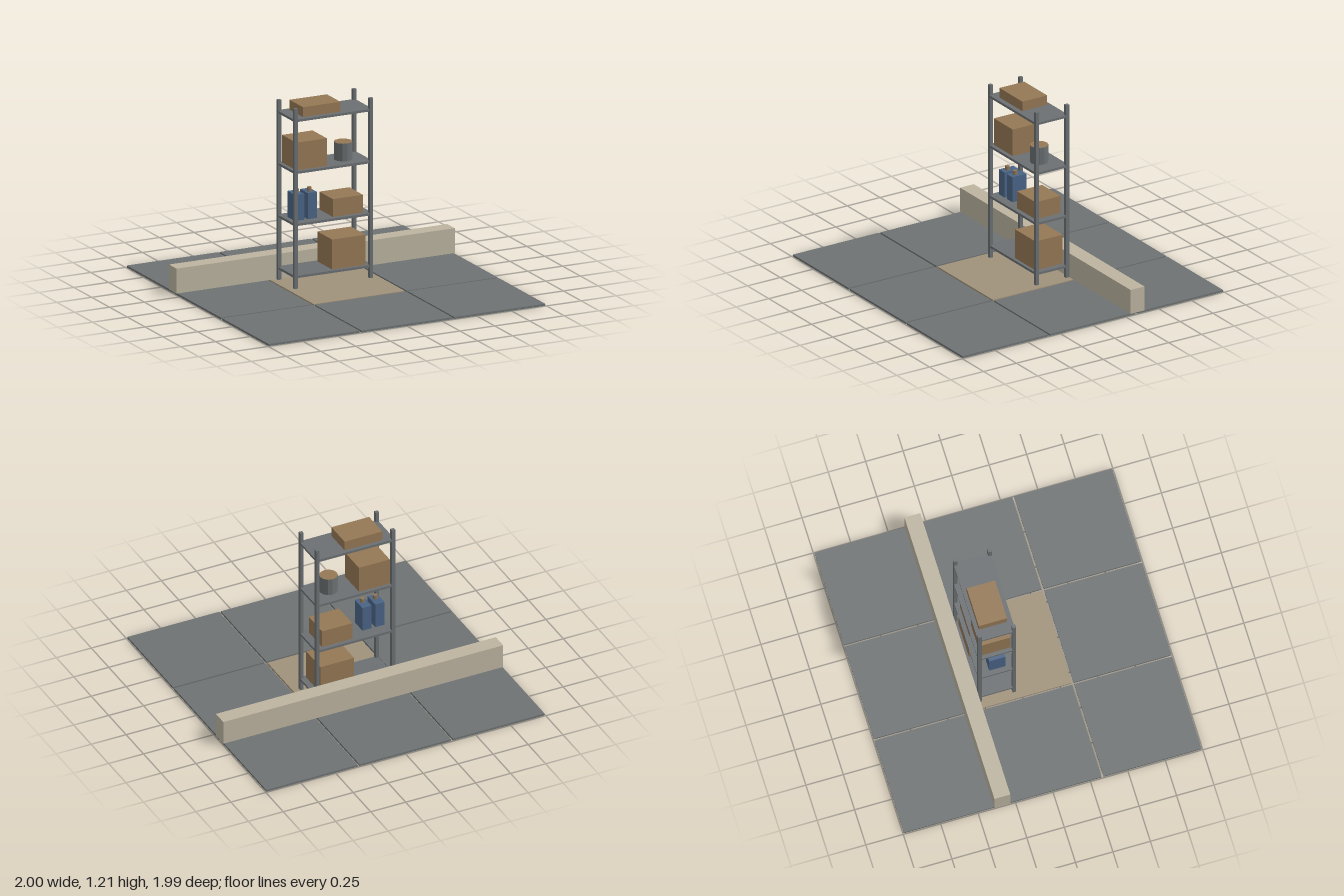
import * as THREE from 'three';

export function createModel() {
  const model = new THREE.Group();
  model.name = 'storageRack';

  const mat = (name, color) => {
    const m = new THREE.MeshStandardMaterial({ color });
    m.name = name;
    return m;
  };
  const slate = mat('slateGrey', 0x6e7272);
  const steel = mat('steelGrey', 0x6b7072);
  const sand = mat('sandTile', 0xa0927a);
  const stone = mat('paleStone', 0xbcb4a0);
  const cardboard = mat('cardboardBrown', 0x957855);
  const blue = mat('canisterBlue', 0x4a6486);

  // Box given by its minimum and maximum on each axis
  const box = (name, material, [x0, x1], [y0, y1], [z0, z1], parent = model) => {
    const mesh = new THREE.Mesh(new THREE.BoxGeometry(x1 - x0, y1 - y0, z1 - z0), material);
    mesh.position.set((x0 + x1) / 2, (y0 + y1) / 2, (z0 + z1) / 2);
    mesh.name = name;
    parent.add(mesh);
    return mesh;
  };

  // Floor: three by three separate tiles, the middle one sand coloured
  const floor = new THREE.Group();
  floor.name = 'floor';
  model.add(floor);
  const half = 0.327, pitch = 0.667, ground = 0.014;
  for (let i = -1; i <= 1; i++) {
    for (let j = -1; j <= 1; j++) {
      const x = i * pitch, z = j * pitch;
      const middle = i === 0 && j === 0;
      box(middle ? 'middleTile' : 'floorTile', middle ? sand : slate,
        [x - half, x + half], [0, ground], [z - half, z + half], floor);
    }
  }

  // Low wall behind the rack
  box('lowWall', stone, [-1, 1], [ground, 0.18], [-0.391, -0.285]);

  // Rack: four posts and four shelves
  const rack = new THREE.Group();
  rack.name = 'rack';
  model.add(rack);
  const rackZ = -0.157;
  for (const sx of [-1, 1]) {
    for (const sz of [-1, 1]) {
      const x = sx * 0.27, z = rackZ + sz * 0.115;
      box('post', steel, [x - 0.012, x + 0.012], [ground, 1.213], [z - 0.012, z + 0.012], rack);
    }
  }
  const tops = [0.1, 0.447, 0.795, 1.141];
  for (const top of tops) {
    box('shelf', steel, [-0.28, 0.28], [top - 0.016, top], [rackZ - 0.125, rackZ + 0.125], rack);
  }

  // Cardboard boxes
  box('bottomBox', cardboard, [0, 0.24], [tops[0], 0.3], [-0.26, -0.054]);
  box('lowerBox', cardboard, [0.01, 0.226], [tops[1], 0.566], [-0.254, -0.063]);
  box('upperBox', cardboard, [-0.255, -0.035], [tops[2], 0.979], [-0.259, -0.059]);
  box('topBox', cardboard, [-0.203, 0.066], [tops[3], 1.207], [-0.256, -0.067]);

  // Two canisters with round caps
  for (const x of [-0.214, -0.122]) {
    const canister = new THREE.Group();
    canister.name = 'canister';
    model.add(canister);
    box('canisterBody', blue, [x - 0.033, x + 0.033], [tops[1], 0.62], [-0.2, -0.092], canister);
    const cap = new THREE.Mesh(
      new THREE.CylinderGeometry(0.015, 0.015, 0.028, 8).toNonIndexed(), cardboard);
    cap.geometry.computeVertexNormals();
    cap.position.set(x, 0.634, -0.134);
    cap.name = 'canisterCap';
    canister.add(cap);
  }

  // Faceted drum with a coloured lid face
  const drumGeometry = new THREE.CylinderGeometry(0.06, 0.06, 0.118, 12).toNonIndexed();
  drumGeometry.computeVertexNormals();
  const drum = new THREE.Mesh(drumGeometry, [steel, cardboard, steel]);
  drum.position.set(0.13, tops[2] + 0.059, -0.153);
  drum.name = 'drum';
  model.add(drum);

  return model;
}
